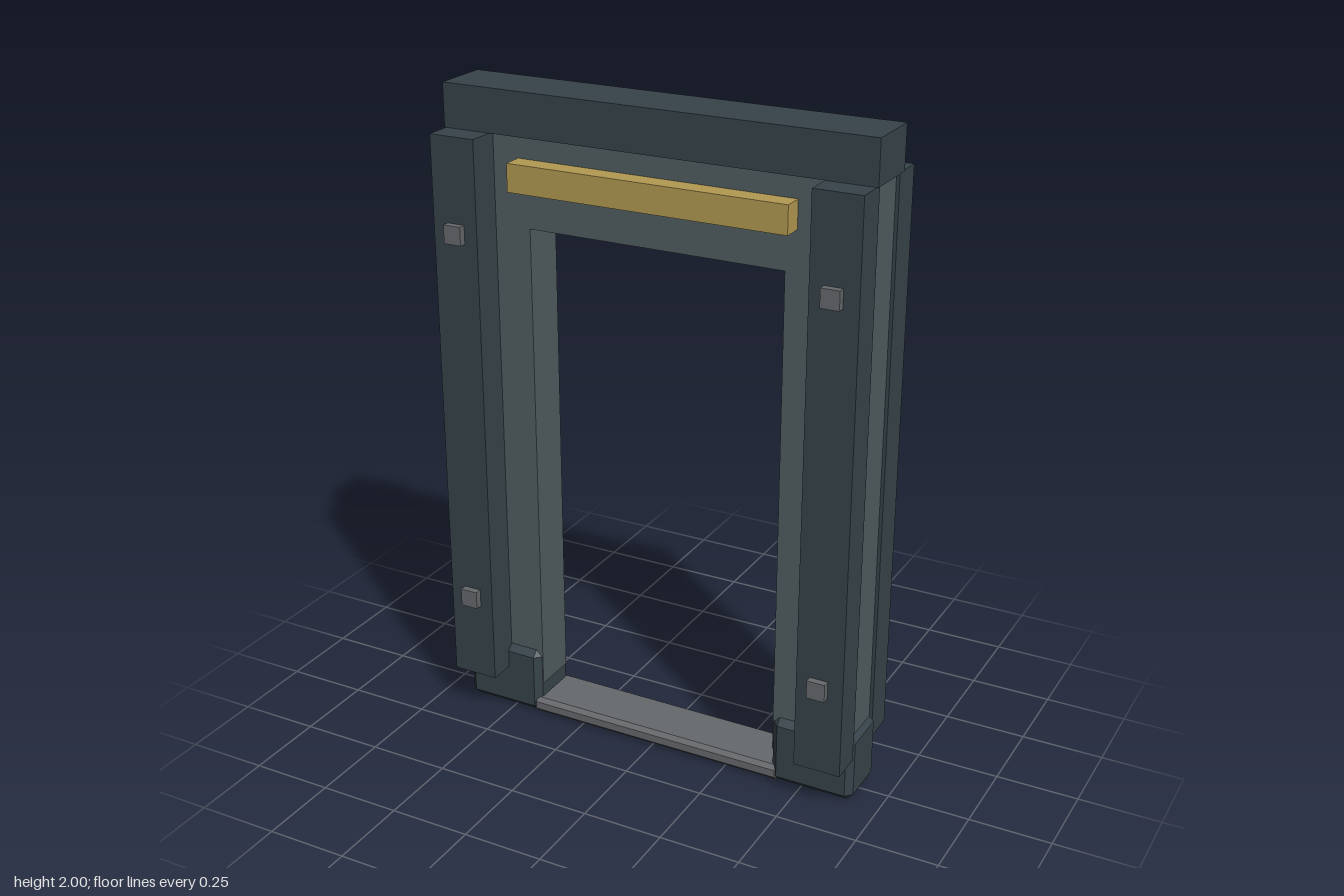
import * as THREE from 'three';
import { ConvexGeometry } from 'three/addons/geometries/ConvexGeometry.js';

const paint = (color) => new THREE.MeshStandardMaterial({ color });
const DARK = paint(0x37434a);
const FRAME = paint(0x505c5f);
const GOLD = paint(0xb39a52);
const STEEL = paint(0x66696c);

// Box with all edges cut at 45 degrees by c
function chamferBox(w, h, d, c) {
  const points = [];
  for (const sx of [-1, 1]) for (const sy of [-1, 1]) for (const sz of [-1, 1]) {
    for (let full = 0; full < 3; full++) {
      const half = [w / 2, h / 2, d / 2].map((v, i) => (i === full ? v : v - c));
      points.push(new THREE.Vector3(sx * half[0], sy * half[1], sz * half[2]));
    }
  }
  return new ConvexGeometry(points);
}

export function createModel() {
  const model = new THREE.Group();
  model.name = 'doorFrame';

  const add = (name, geometry, material, x, y, z) => {
    const mesh = new THREE.Mesh(geometry, material);
    mesh.name = name;
    mesh.position.set(x, y, z);
    model.add(mesh);
  };

  // Inner frame: two jambs and a header cut as one arch
  const outer = 0.65, inner = 0.4, foot = 0.1, head = 1.6, top = 1.9;
  const arch = new THREE.Shape([
    [-outer, foot], [-inner, foot], [-inner, head], [inner, head],
    [inner, foot], [outer, foot], [outer, top], [-outer, top],
  ].map(([x, y]) => new THREE.Vector2(x, y)));
  const archGeometry = new THREE.ExtrudeGeometry(arch, { depth: 0.14, bevelEnabled: false });
  add('innerFrame', archGeometry, FRAME, 0, 0, -0.07);

  // Lintel, sign bar through the header, and threshold
  add('lintel', new THREE.BoxGeometry(1.33, 0.13, 0.18), DARK, 0, 1.935, 0);
  add('signBar', new THREE.BoxGeometry(0.866, 0.084, 0.264), GOLD, 0, 1.762, 0);
  add('threshold', chamferBox(0.86, 0.05, 0.18, 0.013), STEEL, 0, 0.026, 0);

  const postGeometry = new THREE.BoxGeometry(0.145, 1.73, 0.102);
  const boltGeometry = new THREE.BoxGeometry(0.056, 0.056, 0.04);
  const footGeometry = chamferBox(0.262, 0.215, 0.18, 0.02);

  for (const side of [-1, 1]) {
    const name = side > 0 ? 'left' : 'right';
    add(`${name}Foot`, footGeometry, DARK, side * 0.534, 0.1075, 0);
    // Posts with bolts on both faces of the frame
    for (const face of [-1, 1]) {
      const end = face > 0 ? 'Front' : 'Back';
      add(`${name}${end}Post`, postGeometry, DARK, side * 0.5875, 1.005, face * 0.121);
      for (const y of [0.415, 1.588]) {
        add(`${name}${end}Bolt`, boltGeometry, STEEL, side * 0.585, y, face * 0.174);
      }
    }
  }
  return model;
}
